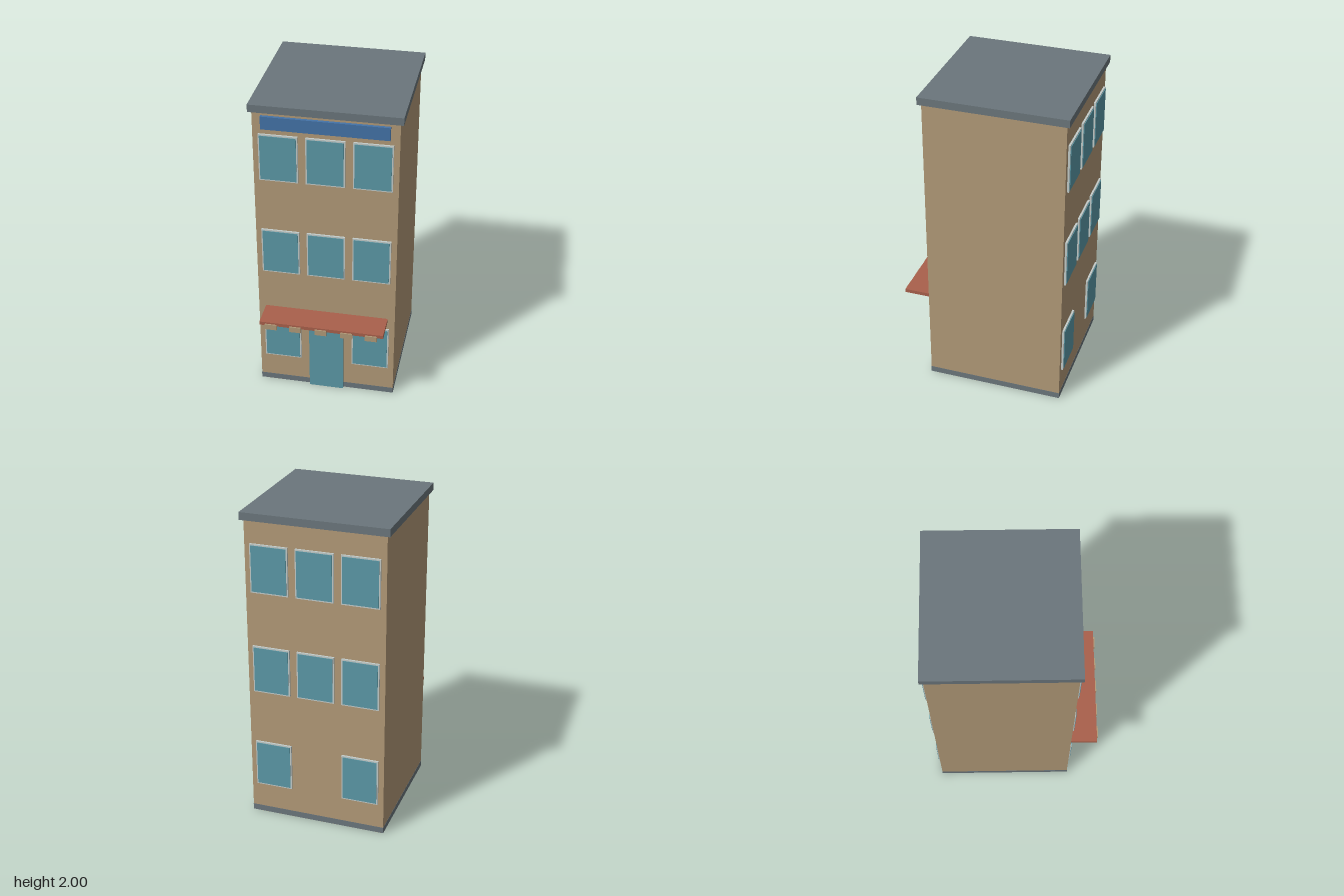
import * as THREE from 'three';

const mat = (name, color) => {
  const m = new THREE.MeshStandardMaterial({ color });
  m.name = name;
  return m;
};

export function createModel() {
  const wall = mat('sandWall', 0xb29a78);
  const slate = mat('slateGrey', 0x6b767c);
  const glass = mat('tealGlass', 0x5b99a7);
  const trim = mat('paleTrim', 0xc3ccca);
  const red = mat('brickRed', 0xa9604b);
  const blue = mat('signBlue', 0x4473a8);

  const model = new THREE.Group();
  model.name = 'building';

  // Box given by its extents on each axis
  const block = (name, material, [x0, x1], [y0, y1], [z0, z1], parent = model) => {
    const mesh = new THREE.Mesh(new THREE.BoxGeometry(x1 - x0, y1 - y0, z1 - z0), material);
    mesh.position.set((x0 + x1) / 2, (y0 + y1) / 2, (z0 + z1) / 2);
    mesh.name = name;
    parent.add(mesh);
    return mesh;
  };

  const front = 0.35, back = -0.515, half = 0.433;

  // Main body, flush footing and overhanging flat roof
  block('walls', wall, [-half, half], [0, 1.955], [back, front]);
  block('footing', slate, [-half - 0.001, half + 0.001], [0.001, 0.04], [back - 0.001, front + 0.001]);
  block('roof', slate, [-0.453, 0.453], [1.953, 2], [-0.535, 0.37]);

  // Framed window facing +z, built around its centre on the wall plane
  const addWindow = (x, y, z, turn) => {
    const w = new THREE.Group();
    w.name = 'window';
    block('frame', trim, [-0.1175, 0.1175], [-0.152, 0.152], [-0.005, 0.012], w);
    block('pane', glass, [-0.109, 0.109], [-0.143, 0.143], [0.008, 0.016], w);
    w.position.set(x, y, z);
    w.rotation.y = turn;
    model.add(w);
  };

  // Three floors of windows, front and back; the ground floor has no middle one
  [0.358, 1.01, 1.66].forEach((y, floor) => {
    for (const x of [-0.281, 0, 0.281]) {
      if (floor === 0 && x === 0) continue;
      addWindow(x, y, front, 0);
      addWindow(x, y, back, Math.PI);
    }
  });

  // Entrance and blank sign board
  block('door', glass, [-0.11, 0.11], [0, 0.473], [front - 0.005, 0.368]);
  block('signBoard', blue, [-0.38, 0.378], [1.848, 1.93], [front, 0.369]);

  // Awning with hanging tabs along its front edge
  block('awning', red, [-0.389, 0.388], [0.565, 0.588], [front, 0.528]);
  for (const x of [-0.316, -0.163, -0.002, 0.16, 0.313])
    block('awningTab', wall, [x - 0.037, x + 0.037], [0.54, 0.577], [0.524, 0.536]);

  return model;
}
